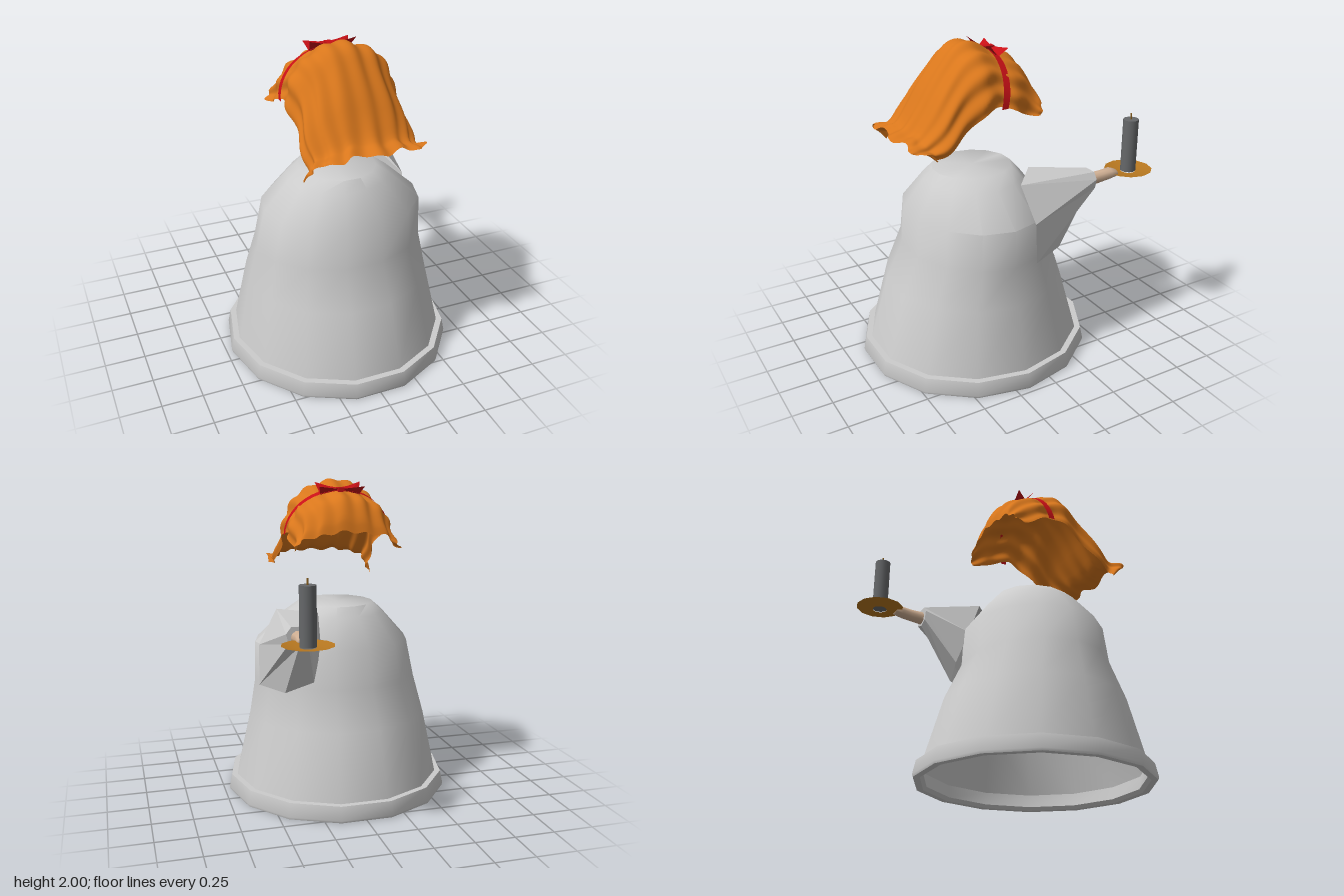
import * as THREE from 'three';
import { toCreasedNormals } from 'three/addons/utils/BufferGeometryUtils.js';

const mat = (color, flatShading = false) =>
  new THREE.MeshStandardMaterial({ color, flatShading, side: THREE.DoubleSide });

// Skin a list of cross-sections (each a list of [x, y, z] points).
function loft(rows, closed) {
  const n = rows[0].length, index = [];
  for (let j = 0; j < rows.length - 1; j++) {
    for (let i = 0; i < (closed ? n : n - 1); i++) {
      const k = (i + 1) % n;
      const a = j * n + i, b = j * n + k, c = a + n, d = b + n;
      index.push(a, c, b, b, c, d);
    }
  }
  const g = new THREE.BufferGeometry();
  g.setAttribute('position', new THREE.Float32BufferAttribute(rows.flat(2), 3));
  g.setIndex(index);
  g.computeVertexNormals();
  return g;
}

export function createModel() {
  const model = new THREE.Group();
  const grey = mat(0xcccccc), greyFlat = mat(0xcccccc, true);
  const add = (name, geometry, material, parent = model) => {
    const mesh = new THREE.Mesh(geometry, material);
    mesh.name = name;
    parent.add(mesh);
    return mesh;
  };

  // Robe: 14-sided rings, [y, left radius, right radius, depth radius]
  const ring = ([y, rl, rr, rz]) => Array.from({ length: 14 }, (_, i) => {
    const t = (i / 14) * Math.PI * 2, c = Math.cos(t);
    return [c * (c > 0 ? rr : rl), y, 0.165 + Math.sin(t) * rz * 1.025];
  });
  const robe = [
    [0.1, 0.665, 0.665, 0.665], [0.5, 0.585, 0.575, 0.55], [0.74, 0.525, 0.535, 0.44],
    [0.98, 0.47, 0.53, 0.425], [1.16, 0.31, 0.33, 0.295], [1.22, 0.24, 0.24, 0.245], [1.22, 0, 0, 0],
  ];
  add('robe', toCreasedNormals(loft(robe.map(ring), true), 0.85), grey);

  // Hem band around the open bottom
  const hem = [[0.1, 0.665], [0.02, 0.655], [0, 0.675], [0, 0.715], [0.015, 0.72], [0.1, 0.702], [0.1, 0.665]];
  add('hem', toCreasedNormals(loft(hem.map(([y, r]) => ring([y, r, r, r])), true), 0.7), grey);

  // Faceted sleeve, wide at the shoulder and narrow at the cuff
  const sleeveRoot = [
    [0.41, 1.205, 0.06], [0.19, 1.205, -0.13], [0.19, 1.0, -0.2], [0.25, 0.8, -0.26],
    [0.42, 0.735, -0.22], [0.535, 0.735, 0.015], [0.53, 0.99, 0.025],
  ];
  const cuff = [
    [0.43, 1.19, -0.455], [0.35, 1.19, -0.455], [0.315, 1.15, -0.455], [0.33, 1.095, -0.455],
    [0.385, 1.07, -0.455], [0.445, 1.09, -0.455], [0.46, 1.15, -0.455],
  ];
  const cuffCentre = cuff.map(() => [0.388, 1.13, -0.455]);
  add('sleeve', loft([sleeveRoot, cuff, cuffCentre], true), greyFlat);

  // Hand: [z, x, y, x radius, y radius]
  const hand = [
    [-0.44, 0.388, 1.125, 0.045, 0.042], [-0.53, 0.395, 1.135, 0.036, 0.038], [-0.59, 0.4, 1.145, 0.042, 0.037],
    [-0.635, 0.4, 1.143, 0.038, 0.022], [-0.64, 0.4, 1.143, 0, 0],
  ].map(([z, x, y, rx, ry]) => Array.from({ length: 10 }, (_, i) => {
    const t = (i / 10) * Math.PI * 2;
    return [x + Math.cos(t) * rx, y + Math.sin(t) * ry, z];
  }));
  add('hand', loft(hand, true), mat(0xd0b094));

  // Candle on a shallow dish
  const candle = new THREE.Group();
  candle.name = 'candleHolder';
  candle.position.set(0.4, 1.14, -0.74);
  model.add(candle);
  const dish = [[0.045, -0.008], [0.09, -0.006], [0.15, 0.006]].map(p => new THREE.Vector2(...p));
  add('dish', new THREE.LatheGeometry(dish, 12), mat(0xb87820), candle);
  add('candle', new THREE.CylinderGeometry(0.048, 0.048, 0.335, 16), mat(0x66686a), candle).position.y = 0.165;
  add('wick', new THREE.CylinderGeometry(0.005, 0.005, 0.04, 6), mat(0x8a6020), candle).position.y = 0.35;

  // Hair: arched sheet, stations from back to front [crown z, crown y, edge z, edge y]
  const stations = [
    [-0.17, 1.69, -0.12, 1.58], [-0.15, 1.77, -0.08, 1.58], [-0.08, 1.875, -0.02, 1.6], [0, 1.905, 0.04, 1.635],
    [0.06, 1.92, 0.1, 1.66], [0.13, 1.965, 0.16, 1.668], [0.2, 1.99, 0.22, 1.65], [0.28, 1.97, 0.28, 1.61],
    [0.36, 1.89, 0.36, 1.55], [0.46, 1.76, 0.44, 1.48], [0.54, 1.63, 0.51, 1.425], [0.61, 1.535, 0.55, 1.385],
    [0.66, 1.515, 0.56, 1.36], [0.7, 1.5, 0.565, 1.34],
  ];
  const crown = new THREE.CatmullRomCurve3(stations.map(s => new THREE.Vector3(0, s[1], s[0])));
  const edge = new THREE.CatmullRomCurve3(stations.map(s => new THREE.Vector3(0, s[3], s[2])));
  const rows = [], NU = 44, NV = 88;
  for (let j = 0; j <= NU; j++) {
    const u = j / NU, c = crown.getPoint(u), e = edge.getPoint(u);
    const front = THREE.MathUtils.smoothstep(u, 0.7, 1);
    const width = 0.325 + 0.014 * Math.cos(u * 26) + 0.02 * front;
    const row = [];
    for (let i = 0; i <= NV; i++) {
      const v = (i / NV) * 2 - 1, a = v * Math.PI / 2;
      const k = Math.pow(Math.max(Math.cos(a), 0), 1 - 0.65 * front);
      const wave = 0.009 * Math.sin(v * 24 + 0.8 * Math.sin(u * 7)) + 0.005 * Math.sin(v * 11 + 1 + u * 3);
      const lift = front * (v > 0 ? 0.09 * v ** 4 : 0); // left front corner hangs higher
      row.push([
        Math.sin(a) * (width + wave),
        e.y + (c.y - e.y) * k + wave * Math.cos(a) + lift,
        e.z + (c.z - e.z) * k + front * 0.022 * Math.sin(v * 13 + 0.3) * k,
      ]);
    }
    rows.push(row);
  }
  add('hair', loft(rows, false), mat(0xd9771c));

  // Ribbon band lying over the hair
  const red = mat(0xc81016), band = [[], []];
  for (let i = 0; i <= 24; i++) {
    const a = (i / 24 - 0.5) * Math.PI, k = Math.cos(a);
    [-0.021, 0.021].forEach((w, s) =>
      band[s].push([Math.sin(a) * 0.338, 1.66 + 0.275 * k + w * 0.35 * k, 0.125 - 0.07 * k + w]));
  }
  add('ribbonBand', loft(band, false), red);

  // Bow: two folded wings and a knot
  const bow = new THREE.Group();
  bow.name = 'bow';
  model.add(bow);
  for (const s of [-1, 1]) {
    const back = [[0, 1.94, 0.015], [s * 0.06, 1.945, 0.01], [s * 0.145, 1.955, -0.01]];
    const fold = [[0, 1.93, 0.05], [s * 0.06, 1.92, 0.05], [s * 0.125, 1.905, 0.05]];
    const fore = [[0, 1.945, 0.085], [s * 0.06, 1.955, 0.09], [s * 0.145, 1.98, 0.112]];
    add('bowWing', loft(s > 0 ? [back, fold, fore] : [fore, fold, back], false), mat(0xc81016, true), bow);
  }
  add('bowKnot', new THREE.BoxGeometry(0.04, 0.025, 0.075), red, bow).position.set(0, 1.935, 0.05);

  return model;
}
